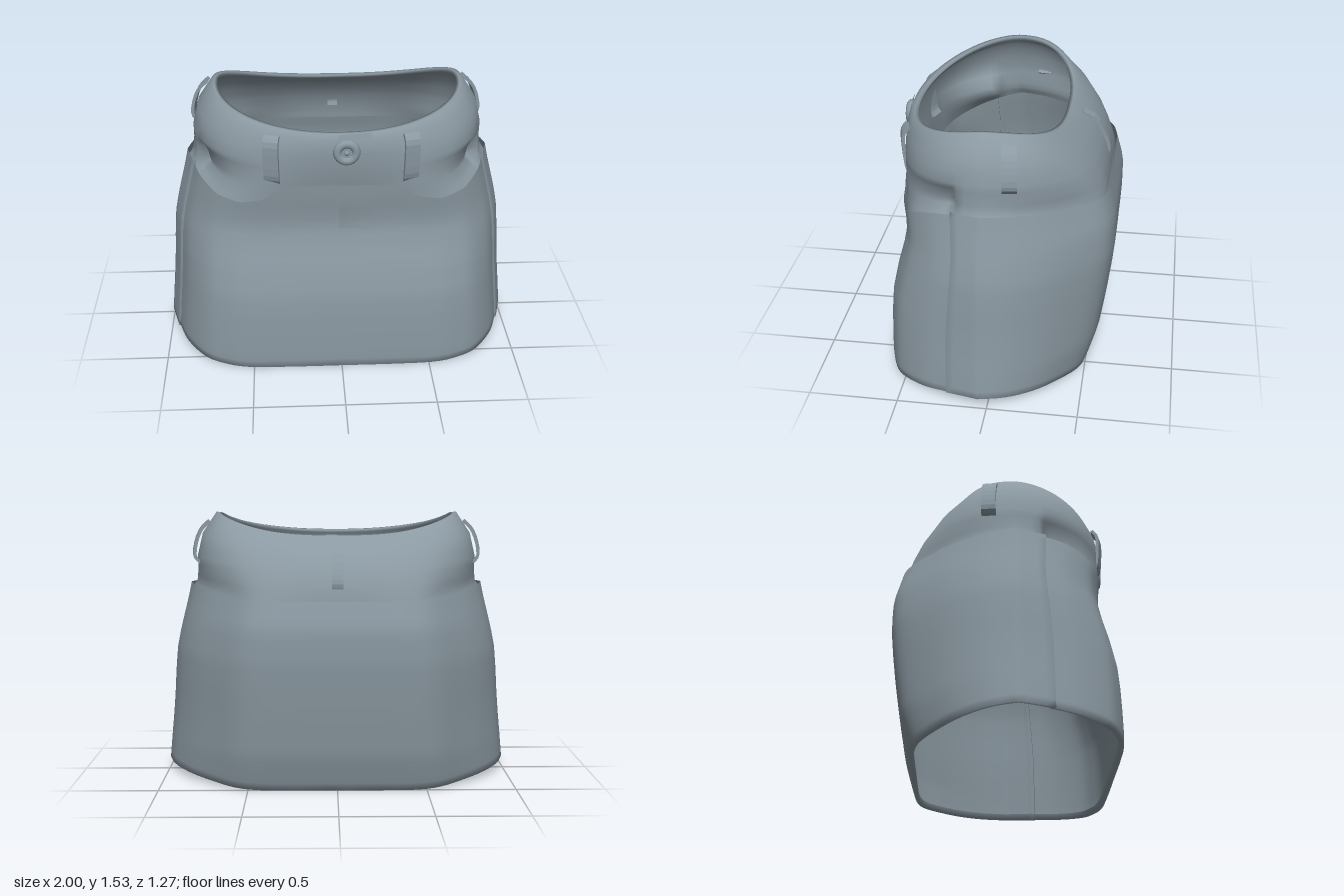
import * as THREE from 'three';

const PI = Math.PI;
const lerp = THREE.MathUtils.lerp;
const range = (a, b, n) => Array.from({ length: n + 1 }, (_, i) => lerp(a, b, i / n));
const spline = (points) => new THREE.SplineCurve(points.map((p) => new THREE.Vector2(...p)));

// Row of a table at a fractional index
function rowAt(table, f) {
  const i = Math.min(Math.max(Math.floor(f), 0), table.length - 2);
  return table[i].map((a, k) => lerp(a, table[i + 1][k], f - i));
}

// Row of a table whose first column equals x
function lookUp(table, x) {
  let i = 0;
  while (i < table.length - 2 && table[i + 1][0] < x) i++;
  return rowAt(table, i + Math.min((x - table[i][0]) / (table[i + 1][0] - table[i][0]), 1));
}

// Quarter outlines of the hips, from the side to the middle
const FRONT = spline([[1, 0], [0.95, 0.32], [0.895, 0.57], [0.79, 0.81], [0.68, 0.92], [0.54, 0.985], [0.3, 1], [0, 1]]);
const BACK = spline([[1, 0], [0.955, 0.25], [0.86, 0.5], [0.73, 0.72], [0.575, 0.92], [0.43, 0.99], [0.25, 1], [0, 1]]);

// Unit x and z of the hips for an angle (front is PI / 2)
function hipOutline(t) {
  const c = Math.cos(t), s = Math.sin(t);
  const p = (s > 0 ? FRONT : BACK).getPoint(Math.atan2(Math.abs(s), Math.abs(c)) / (PI / 2));
  return [Math.sign(c) * p.x, Math.sign(s) * p.y];
}

// Unit x and z of the rounder waist opening
function rimOutline(t) {
  const c = Math.cos(t), s = Math.sin(t), p = 2 / (s > 0 ? 2.15 : 2.6);
  return [Math.sign(c) * Math.abs(c) ** p, Math.sign(s) * Math.abs(s) ** p];
}

// Skirt sections: height, half width, front z, back z
const BODY = [
  [0.0, 0.998, 0.632, -0.505], [0.06, 0.998, 0.636, -0.525], [0.2, 0.985, 0.634, -0.565],
  [0.33, 0.972, 0.63, -0.585], [0.45, 0.962, 0.62, -0.602], [0.6, 0.953, 0.587, -0.62],
  [0.73, 0.942, 0.55, -0.632], [0.84, 0.92, 0.528, -0.633], [0.92, 0.90, 0.532, -0.63],
  [1.03, 0.872, 0.548, -0.60], [1.13, 0.85, 0.558, -0.572],
];

function bodyPoint(t, v, off, topOf) {
  const [ux, uz] = hipOutline(t);
  const y = lerp(0.06 * (1 - Math.abs(uz) ** 1.5), topOf(ux, uz), v);
  const [, w, zf, zb] = lookUp(BODY, y);
  const depth = uz > 0 ? zf - 0.05 : 0.05 - zb;
  return [ux * (w + off), y, 0.05 + uz * (depth + off)];
}

// Waist sections: side y, front y, back y, half width, front z, back z, pocket dent, hip shape
const WAIST = [
  [1.08, 0.93, 1.04, 0.852, 0.525, -0.578, 0, 1],
  [1.13, 1.08, 1.09, 0.82, 0.542, -0.572, 1, 0.8],
  [1.20, 1.16, 1.16, 0.812, 0.558, -0.555, 0.7, 0.5],
  [1.28, 1.24, 1.24, 0.812, 0.568, -0.52, 0, 0.3],
  [1.41, 1.33, 1.33, 0.78, 0.57, -0.455, 0, 0.1],
  [1.53, 1.405, 1.41, 0.70, 0.55, -0.36, 0, 0],
  [1.525, 1.40, 1.405, 0.665, 0.51, -0.32, 0, 0],
  [1.48, 1.37, 1.37, 0.70, 0.525, -0.365, 0, 0],
];

function waistPoint(t, f, off) {
  const [ys, yf, yb, w, zf, zb, d, hip] = rowAt(WAIST, f);
  const h = hipOutline(t), r = rimOutline(t);
  const ux = lerp(r[0], h[0], hip), uz = lerp(r[1], h[1], hip);
  const y = uz > 0 ? lerp(ys, yf, uz ** 1.4) : lerp(ys, yb, (-uz) ** 2.5);
  const a = Math.min(t, PI - t);
  const dent = a > 0.2 && a < 1.15 ? (0.07 * d * (1.15 - a)) / 0.95 : 0;
  const depth = uz > 0 ? zf - 0.05 : 0.05 - zb;
  const o = off - dent;
  return [ux * (w + o), y, 0.05 + uz * (depth + o)];
}

// Grid surface from a point rule; wrap joins the last column to the first
function grid(cols, rows, point, wrap = false) {
  const pos = [], idx = [];
  for (let r = 0; r < rows; r++) for (let c = 0; c < cols; c++) pos.push(...point(c, r));
  for (let r = 0; r < rows - 1; r++) {
    for (let c = 0; c < (wrap ? cols : cols - 1); c++) {
      const a = r * cols + c, b = r * cols + ((c + 1) % cols);
      idx.push(a, a + cols, b, b, a + cols, b + cols);
    }
  }
  const g = new THREE.BufferGeometry();
  g.setAttribute('position', new THREE.Float32BufferAttribute(pos, 3));
  g.setIndex(idx);
  g.computeVertexNormals();
  return g;
}

// Bowed strap: profile of [outward, y] points, given a width
function strap(points, width) {
  const curve = spline(points);
  const outer = curve.getPoints(10);
  const inner = outer.map((p, i) => {
    const n = curve.getTangent(i / 10);
    return new THREE.Vector2(p.x - n.y * 0.018, p.y + n.x * 0.018);
  });
  const shape = new THREE.Shape([...outer, ...inner.reverse()]);
  const g = new THREE.ExtrudeGeometry(shape, { depth: width, bevelEnabled: false });
  return g.translate(0, 0, -width / 2);
}

export function createModel() {
  const model = new THREE.Group();
  const denim = new THREE.MeshStandardMaterial({ color: 0x8b99a2, side: THREE.DoubleSide });
  denim.name = 'greyBlueDenim';
  const add = (name, geometry, parent = model) => {
    const mesh = new THREE.Mesh(geometry, denim);
    mesh.name = name;
    parent.add(mesh);
    return mesh;
  };

  // Upper edges of the skirt panels; the front one scoops down for the pockets
  const scoop = [[0, 1.11], [0.33, 1.10], [0.42, 1.025], [0.55, 1.0], [0.68, 1.03], [0.8, 1.09], [0.87, 1.12]];
  const frontTop = (ux) => lookUp(scoop, Math.abs(ux) * 0.87)[1];
  const backTop = (ux, uz) => lerp(1.12, 1.07, uz * uz);

  // Skirt panels with a folded hem; the back one overlaps the front at the side seams
  const levels = [[0.03, -0.03], [0, -0.02], [0, 0], ...range(0.04, 1, 24).map((v) => [v, 0])];
  const panel = (name, angles, base, top, lip) => {
    const n = angles.length;
    add(name, grid(n, levels.length, (c, r) => {
      const edge = lip && (c === 0 || c === n - 1) ? -0.02 : 0;
      return bodyPoint(angles[c], levels[r][0], levels[r][1] + base + edge, top);
    }));
  };
  const s = 0.22;
  panel('frontPanel', range(s - 0.03, PI - s + 0.03, 64), -0.006, frontTop, false);
  panel('backPanel', [PI - s, ...range(PI - s, 2 * PI + s, 64), 2 * PI + s], 0.002, backTop, true);

  // Waistband and yoke, turned over at the rim
  const N = 96;
  const waistRows = range(0, WAIST.length - 1, 2 * (WAIST.length - 1));
  add('waistband', grid(N, waistRows.length, (c, r) => waistPoint((c / N) * 2 * PI, waistRows[r], 0), true));

  // Overlapping closure on the waistband and fly below it
  const flap = range(PI / 2 + 0.02, PI / 2 - 0.2, 8);
  const taper = (c) => 0.012 * (1 - c / 8);
  add('waistOverlap', grid(9, 9, (c, r) => waistPoint(flap[c], lerp(1.2, 5, r / 8), taper(c))));
  add('flyFlap', grid(9, 9, (c, r) => {
    const v = lerp(0.74, 1, r / 8);
    return bodyPoint(flap[c], v, taper(c) * Math.min(1, r / 4) - 0.008, frontTop);
  }));

  // Button: ring, backing disc and centre stud
  const button = new THREE.Group();
  button.name = 'button';
  button.position.set(0.025, 1.31, 0.575);
  add('buttonRing', new THREE.TorusGeometry(0.049, 0.024, 10, 24), button);
  add('buttonDisc', new THREE.CylinderGeometry(0.05, 0.05, 0.02, 20).rotateX(PI / 2), button);
  add('buttonStud', new THREE.SphereGeometry(0.014, 10, 8).translate(0, 0, 0.01), button);
  model.add(button);

  // Belt loops: a pair in front, a pair at the sides and one at the back
  const frontLoop = [[-0.005, 1.11], [0.02, 1.15], [0.03, 1.25], [0.03, 1.35], [0.0, 1.395]];
  const sideLoop = [[0.0, 1.24], [0.03, 1.28], [0.022, 1.36], [-0.01, 1.44], [-0.06, 1.49]];
  const backLoop = [[0.565, 1.13], [0.57, 1.17], [0.545, 1.24], [0.49, 1.33], [0.41, 1.375]];
  const placeLoop = (name, profile, width, x, z, angle) => {
    const mesh = add(name, strap(profile, width));
    mesh.position.set(x, 0, z);
    mesh.rotation.y = -angle;
  };
  for (const [side, m] of [['left', 1], ['right', -1]]) {
    placeLoop(side + 'FrontLoop', frontLoop, 0.085, m * 0.37, 0.525, PI / 2 - m * 0.3);
    placeLoop(side + 'SideLoop', sideLoop, 0.08, m * 0.795, -0.1, m > 0 ? -0.15 : PI + 0.15);
  }
  placeLoop('backLoop', backLoop, 0.06, 0, 0, -PI / 2);
  return model;
}
